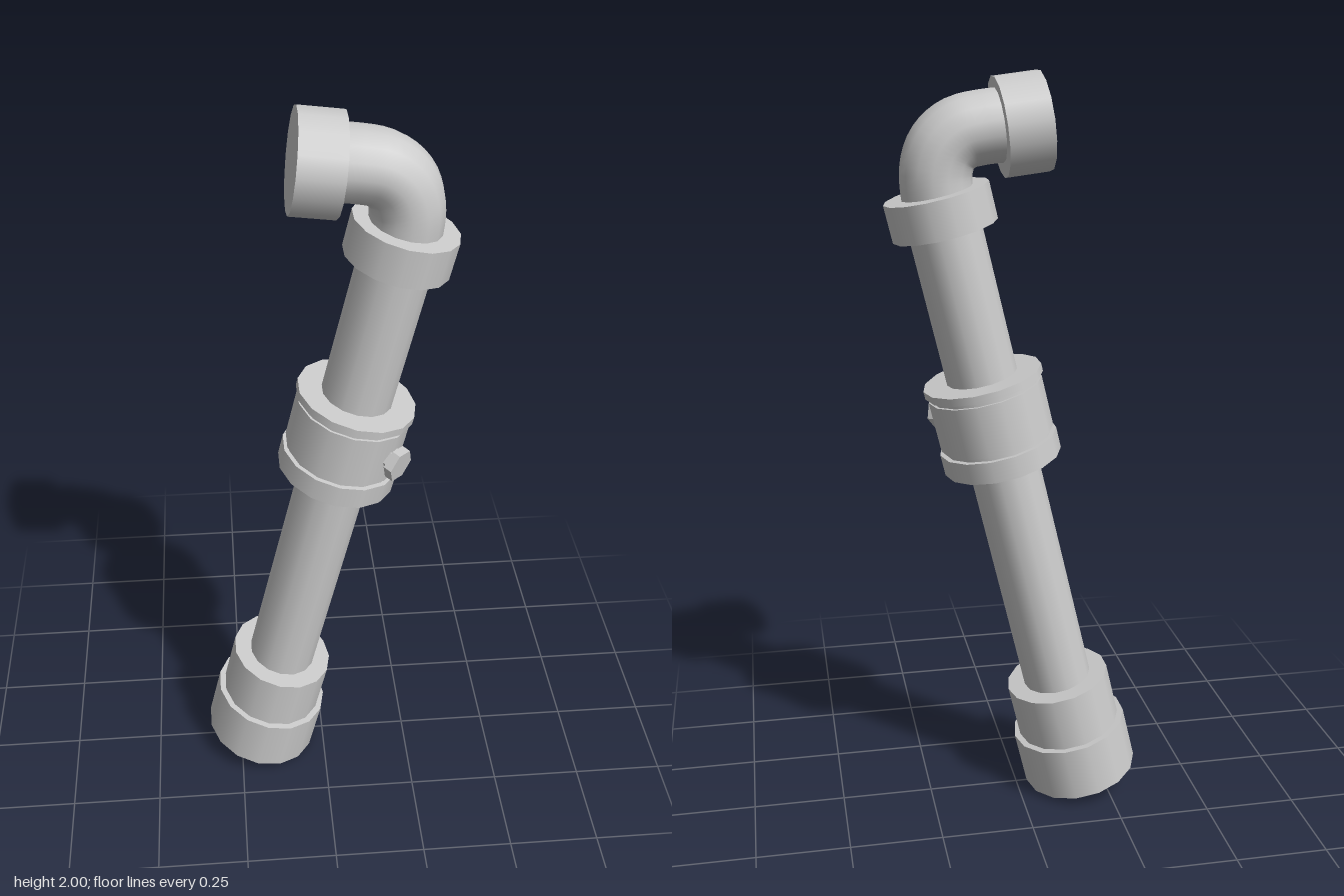
import * as THREE from 'three';

const SIDES = 15;
const TILT = 0.232; // lean of the standpipe, radians

export function createModel() {
  const model = new THREE.Group();
  const material = new THREE.MeshStandardMaterial({ color: 0xcccccc });
  const flat = new THREE.MeshStandardMaterial({ color: 0xcccccc, flatShading: true });

  // Closed cylinder along y from y0 to y1
  function ring(parent, name, r, y0, y1, start = Math.PI / 2) {
    const geo = new THREE.CylinderGeometry(r, r, y1 - y0, SIDES, 1, false, start);
    const mesh = new THREE.Mesh(geo, material);
    mesh.position.y = (y0 + y1) / 2;
    mesh.name = name;
    parent.add(mesh);
    return mesh;
  }

  // The pipe is slightly oval: wider along z
  const pipework = new THREE.Group();
  pipework.name = 'pipework';
  pipework.scale.z = 1.1;
  model.add(pipework);

  // Leaning standpipe with its fittings
  const standpipe = new THREE.Group();
  standpipe.name = 'standpipe';
  standpipe.position.set(-0.188, 0.037, 0);
  standpipe.rotation.z = -TILT;
  pipework.add(standpipe);

  ring(standpipe, 'baseCollar', 0.161, 0, 0.152);
  ring(standpipe, 'baseSleeve', 0.144, 0.15, 0.303);
  ring(standpipe, 'pipe', 0.095, 0.29, 1.63);
  ring(standpipe, 'clampLowerFlange', 0.16, 0.978, 1.036);
  ring(standpipe, 'clampGroove', 0.147, 1.03, 1.2);
  ring(standpipe, 'clampBody', 0.154, 1.046, 1.185);
  ring(standpipe, 'clampUpperFlange', 0.16, 1.197, 1.218);
  ring(standpipe, 'topCollar', 0.1375, 1.615, 1.713);

  // Hex bolt on the front left of the clamp
  const bolt = new THREE.Group();
  bolt.name = 'clampBolt';
  bolt.position.y = 1.111;
  bolt.rotation.y = -Math.PI / 4;
  for (const [name, r, d0, d1] of [['boltShank', 0.032, 0.13, 0.165], ['boltHead', 0.045, 0.16, 0.184]]) {
    const part = new THREE.Mesh(new THREE.CylinderGeometry(r, r, d1 - d0, 6), flat);
    part.rotation.z = -Math.PI / 2;
    part.position.x = (d0 + d1) / 2;
    part.name = name;
    bolt.add(part);
  }
  standpipe.add(bolt);

  // Elbow turning towards the outlet
  const path = new THREE.CatmullRomCurve3([
    [0.185, 1.62], [0.203, 1.70], [0.205, 1.76], [0.187, 1.812],
    [0.146, 1.848], [0.09, 1.862], [0.0, 1.87],
  ].map(([x, y]) => new THREE.Vector3(x, y, 0)));
  const elbow = new THREE.Mesh(new THREE.TubeGeometry(path, 28, 0.093, SIDES), material);
  elbow.name = 'elbow';
  pipework.add(elbow);

  // Outlet cap
  const outlet = new THREE.Group();
  outlet.name = 'outlet';
  outlet.position.set(-0.072, 1.876, 0);
  outlet.rotation.z = Math.PI / 2 - 0.125;
  ring(outlet, 'outletCap', 0.127, -0.117, 0, -Math.PI / 2);
  pipework.add(outlet);

  return model;
}
